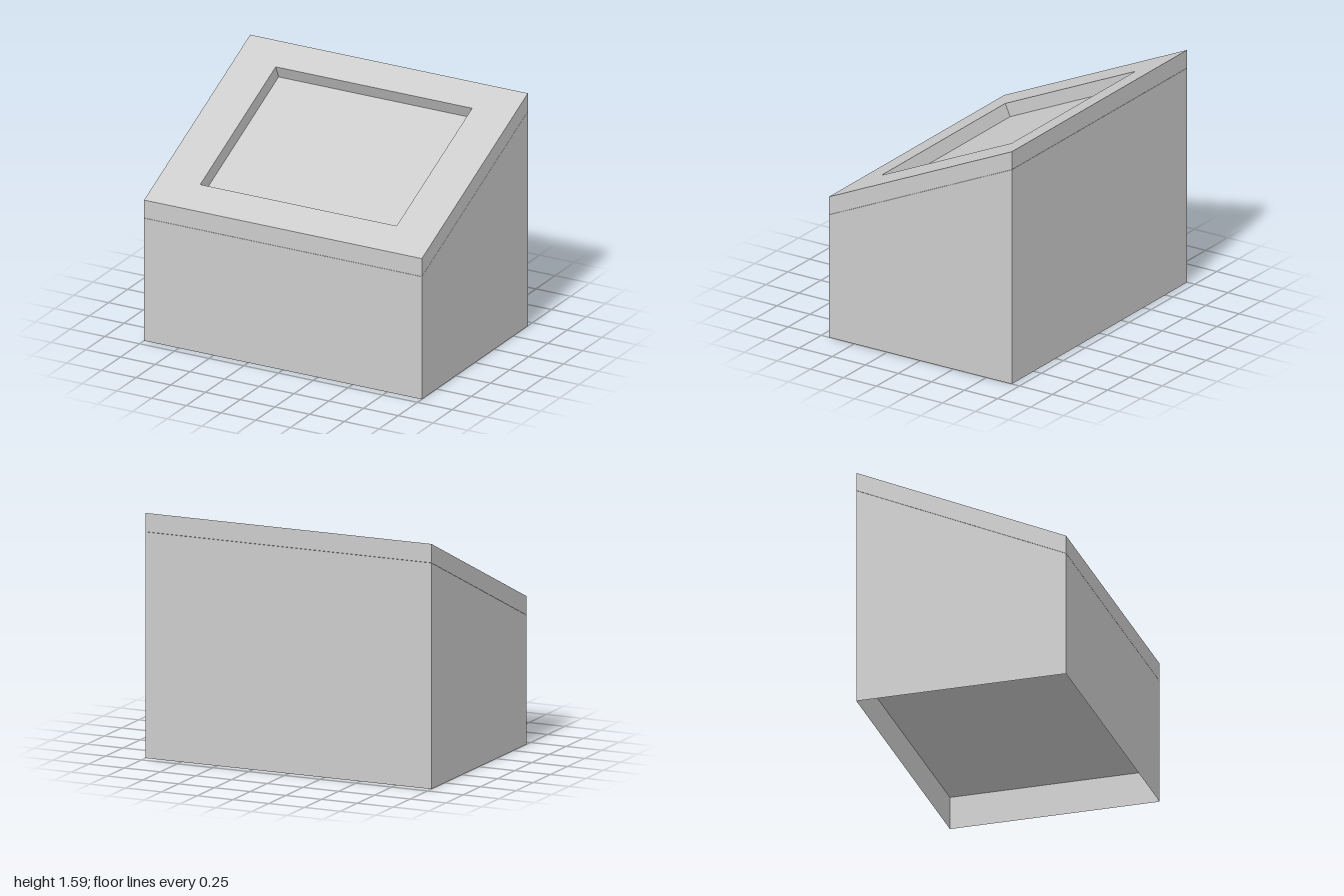
import * as THREE from 'three';

const HALF_DEPTH = 0.692, MID_TOP = 1.273, SLOPE = 0.453;
const ANGLE = Math.atan(SLOPE);
const LID_HEIGHT = 0.122, SEAM = 0.0015;
const LID = LID_HEIGHT * Math.cos(ANGLE); // lid thickness square to the slope
const RECESS = 0.09;
const topAt = z => MID_TOP - SLOPE * z;

export function createModel() {
  const group = new THREE.Group();
  const grey = new THREE.MeshStandardMaterial({ color: 0xcccccc, flatShading: true });
  const thin = grey.clone();
  thin.side = THREE.DoubleSide;

  const add = (name, geometry, material = grey) => {
    const mesh = new THREE.Mesh(geometry, material);
    mesh.name = name;
    group.add(mesh);
  };

  // Turns a geometry drawn flat in XY onto the sloping top, local y pointing up the slope
  const ontoSlope = geometry => geometry.rotateX(ANGLE - Math.PI / 2).translate(0, MID_TOP, 0);

  // Cabinet: box with a slanted top and an open underside, a hairline seam below the lid
  const body = new THREE.BoxGeometry(2, 1, HALF_DEPTH * 2);
  const p = body.attributes.position;
  for (let i = 0; i < p.count; i++) {
    p.setY(i, p.getY(i) < 0 ? 0 : topAt(p.getZ(i)) - LID_HEIGHT - SEAM);
  }
  const index = Array.from(body.index.array);
  index.splice(18, 6); // drop the bottom face
  body.setIndex(index);
  body.clearGroups();
  body.computeVertexNormals();
  add('cabinet', body, thin);

  // Floor panel set up inside the open underside
  const floor = new THREE.PlaneGeometry(2, HALF_DEPTH * 2).rotateX(Math.PI / 2);
  add('cabinetFloor', floor.translate(0, 0.22, 0), thin);

  // Lid frame: sloping slab with a rectangular opening and upright outer sides
  const half = HALF_DEPTH / Math.cos(ANGLE);
  const x = 0.707, up = 0.495 / Math.cos(ANGLE), down = -0.49 / Math.cos(ANGLE);
  const rect = (Type, w, y0, y1) => new Type([
    new THREE.Vector2(-w, y0), new THREE.Vector2(w, y0),
    new THREE.Vector2(w, y1), new THREE.Vector2(-w, y1),
  ]);
  const outline = rect(THREE.Shape, 1, -half, half);
  outline.holes.push(rect(THREE.Path, x, down, up));
  const frame = new THREE.ExtrudeGeometry(outline, { depth: LID, bevelEnabled: false });
  frame.translate(0, 0, -LID);
  const q = frame.attributes.position;
  for (let i = 0; i < q.count; i++) {
    const underside = q.getZ(i) < -LID / 2;
    if (underside && Math.abs(q.getX(i)) > 0.99) q.setY(i, q.getY(i) - LID * SLOPE);
  }
  ontoSlope(frame);
  frame.computeVertexNormals();
  add('lidFrame', frame);

  // Sunken panel closing the opening
  const thick = LID - RECESS;
  const panel = new THREE.BoxGeometry(2 * x, up - down, thick);
  panel.translate(0, (up + down) / 2, -RECESS - thick / 2);
  add('recessedPanel', ontoSlope(panel));

  return group;
}
